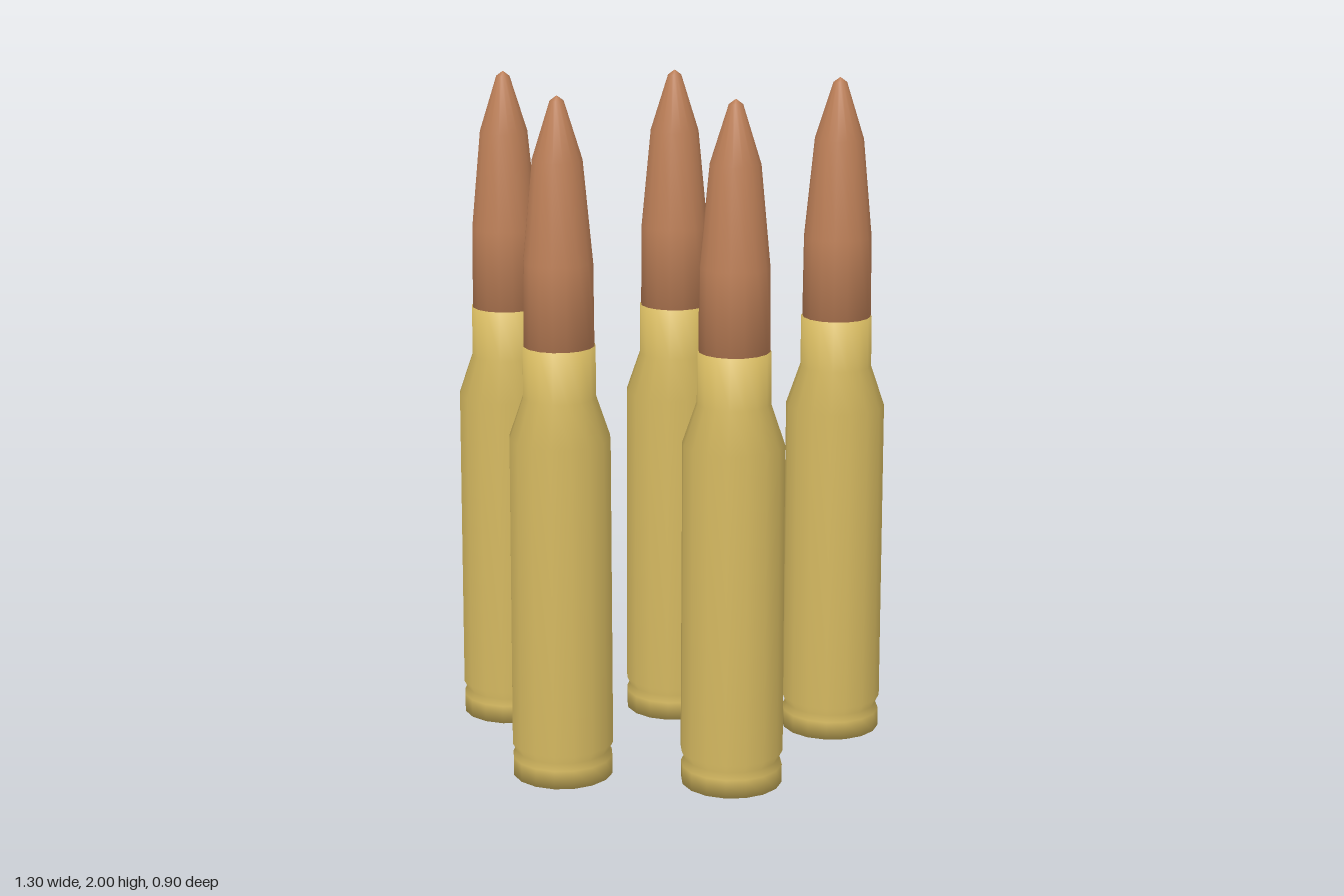
import * as THREE from 'three';

const SIDES = 16;

function lathe(name, profile, material) {
  const points = profile.map(([r, y]) => new THREE.Vector2(r, y));
  const mesh = new THREE.Mesh(new THREE.LatheGeometry(points, SIDES), material);
  mesh.name = name;
  return mesh;
}

export function createModel() {
  const brass = new THREE.MeshStandardMaterial({ name: 'brass', color: 0xd4b860 });
  const copper = new THREE.MeshStandardMaterial({ name: 'copper', color: 0xbe8058 });

  // Rim, extractor groove, tapered body, shoulder and neck
  const caseProfile = [
    [0, 0], [0.148, 0], [0.148, 0.055], [0.138, 0.075], [0.15, 0.1],
    [0.147, 1.02], [0.106, 1.14], [0.105, 1.29], [0, 1.29],
  ];
  // Pointed tip
  const tipProfile = [
    [0, 1.285], [0.102, 1.285], [0.1, 1.53], [0.072, 1.82], [0.02, 1.985], [0, 2],
  ];

  const model = new THREE.Group();
  model.name = 'cartridges';

  // Five cartridges standing in a loose ring
  const spots = [[-0.5, -0.2], [-0.25, 0.3], [0, -0.3], [0.25, 0.3], [0.5, -0.2]];
  spots.forEach(([x, z], i) => {
    const cartridge = new THREE.Group();
    cartridge.name = `cartridge${i + 1}`;
    cartridge.add(lathe('case', caseProfile, brass), lathe('tip', tipProfile, copper));
    cartridge.position.set(x, 0, z);
    model.add(cartridge);
  });
  return model;
}
